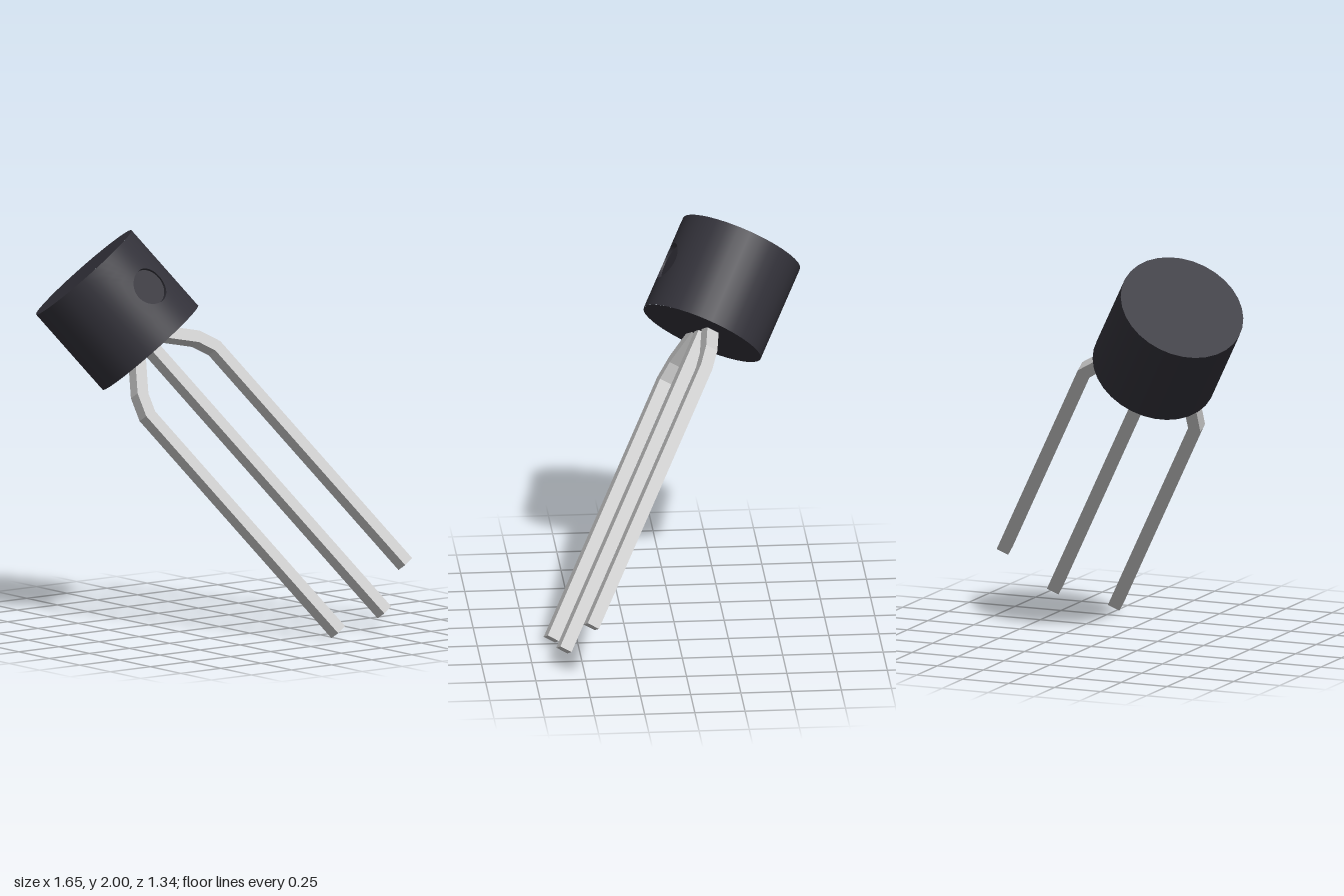
import * as THREE from 'three';

const R = 0.317, H = 0.5;              // body radius and height
const MARK = 0.095, FLOOR = 0.292;     // round dent: radius, depth plane
const HALF_ARC = Math.PI / 4;          // front panel that holds the dent
const LEG = 0.064;                     // square leg thickness

// Closed rings of points joined into a strip surface, outer ring first
function ringSurface(rings) {
  const n = rings[0].length, index = [];
  for (let j = 0; j < rings.length - 1; j++) {
    for (let i = 0; i < n; i++) {
      const a = j * n + i, b = j * n + (i + 1) % n;
      index.push(a, b, a + n, b, b + n, a + n);
    }
  }
  const g = new THREE.BufferGeometry().setFromPoints(rings.flat());
  g.setIndex(index);
  g.computeVertexNormals();
  return g;
}

// Ring on the body's front: t = 0 is the panel's border, t = 1 the dent's rim
function panelRing(t) {
  const ring = [];
  for (let i = 0; i < 48; i++) {
    const a = (i / 48) * Math.PI * 2, c = Math.cos(a), s = Math.sin(a);
    const k = 1 / Math.max(Math.abs(c), Math.abs(s));
    const angle = THREE.MathUtils.lerp(k * c * HALF_ARC, Math.asin(MARK * c / R), t);
    const y = H / 2 + THREE.MathUtils.lerp(k * s * H / 2, MARK * s, t);
    ring.push(new THREE.Vector3(R * Math.sin(angle), y, R * Math.cos(angle)));
  }
  return ring;
}

// Square bar following a centre line in the xy plane, with mitred bends
function legGeometry(path) {
  const pts = path.map(([x, y]) => new THREE.Vector2(x, y));
  const left = [], right = [];
  pts.forEach((p, i) => {
    const before = p.clone().sub(pts[Math.max(i - 1, 0)]).normalize();
    const after = pts[Math.min(i + 1, pts.length - 1)].clone().sub(p).normalize();
    const dir = before.clone().add(after).normalize();
    const along = before.lengthSq() ? before : after;
    const off = new THREE.Vector2(-dir.y, dir.x).multiplyScalar(LEG / 2 / dir.dot(along));
    left.push(p.clone().add(off));
    right.unshift(p.clone().sub(off));
  });
  const shape = new THREE.Shape([...left, ...right]);
  return new THREE.ExtrudeGeometry(shape, { depth: LEG, bevelEnabled: false }).translate(0, 0, -LEG / 2);
}

export function createModel() {
  const model = new THREE.Group();
  model.name = 'transistor';
  const part = new THREE.Group();
  part.name = 'tiltedTransistor';
  model.add(part);

  const plastic = new THREE.MeshStandardMaterial({ color: 0x33323a });
  const metal = new THREE.MeshStandardMaterial({ color: 0xcccccc });
  const add = (name, geometry, material, parent) => {
    const mesh = new THREE.Mesh(geometry, material);
    mesh.name = name;
    parent.add(mesh);
    return mesh;
  };

  // Body: round case, open at the front panel
  const body = new THREE.Group();
  body.name = 'body';
  part.add(body);
  add('caseSide', new THREE.CylinderGeometry(R, R, H, 24, 1, true, HALF_ARC, Math.PI * 2 - 2 * HALF_ARC),
    plastic, body).position.y = H / 2;
  const top = add('caseTop', new THREE.CircleGeometry(R, 32), plastic, body);
  top.rotation.x = -Math.PI / 2;
  top.position.y = H;
  add('caseBottom', new THREE.CircleGeometry(R, 32), plastic, body).rotation.x = Math.PI / 2;

  // Front panel with the shallow round dent
  const panel = ringSurface([0, 0.25, 0.5, 0.75, 1].map(panelRing));
  const pos = panel.attributes.position;
  for (let i = 0; i < pos.count; i++) {
    panel.attributes.normal.setXYZ(i, pos.getX(i) / R, 0, pos.getZ(i) / R);
  }
  add('caseFront', panel, plastic, body);
  const rim = panelRing(1);
  add('dentWall', ringSurface([rim, rim.map((p) => new THREE.Vector3(p.x, p.y, FLOOR))]), plastic, body);
  add('dentFloor', new THREE.CircleGeometry(MARK, 48), plastic, body).position.set(0, H / 2, FLOOR);

  // Legs: a straight one in the middle, two splayed ones beside it
  add('middleLeg', legGeometry([[0, 0.03], [0, -1.76]]), metal, part);
  for (const [name, side] of [['leftLeg', 1], ['rightLeg', -1]]) {
    const path = [[0.095, 0.025], [0.259, -0.131], [0.309, -0.23], [0.309, -1.665]];
    add(name, legGeometry(path.map(([x, y]) => [side * x, y])), metal, part);
  }

  // The whole part leans back and to one side
  part.rotation.set(-Math.PI / 6, 0, Math.PI / 6);
  part.position.set(-0.304, 1.415, -0.166);
  return model;
}
